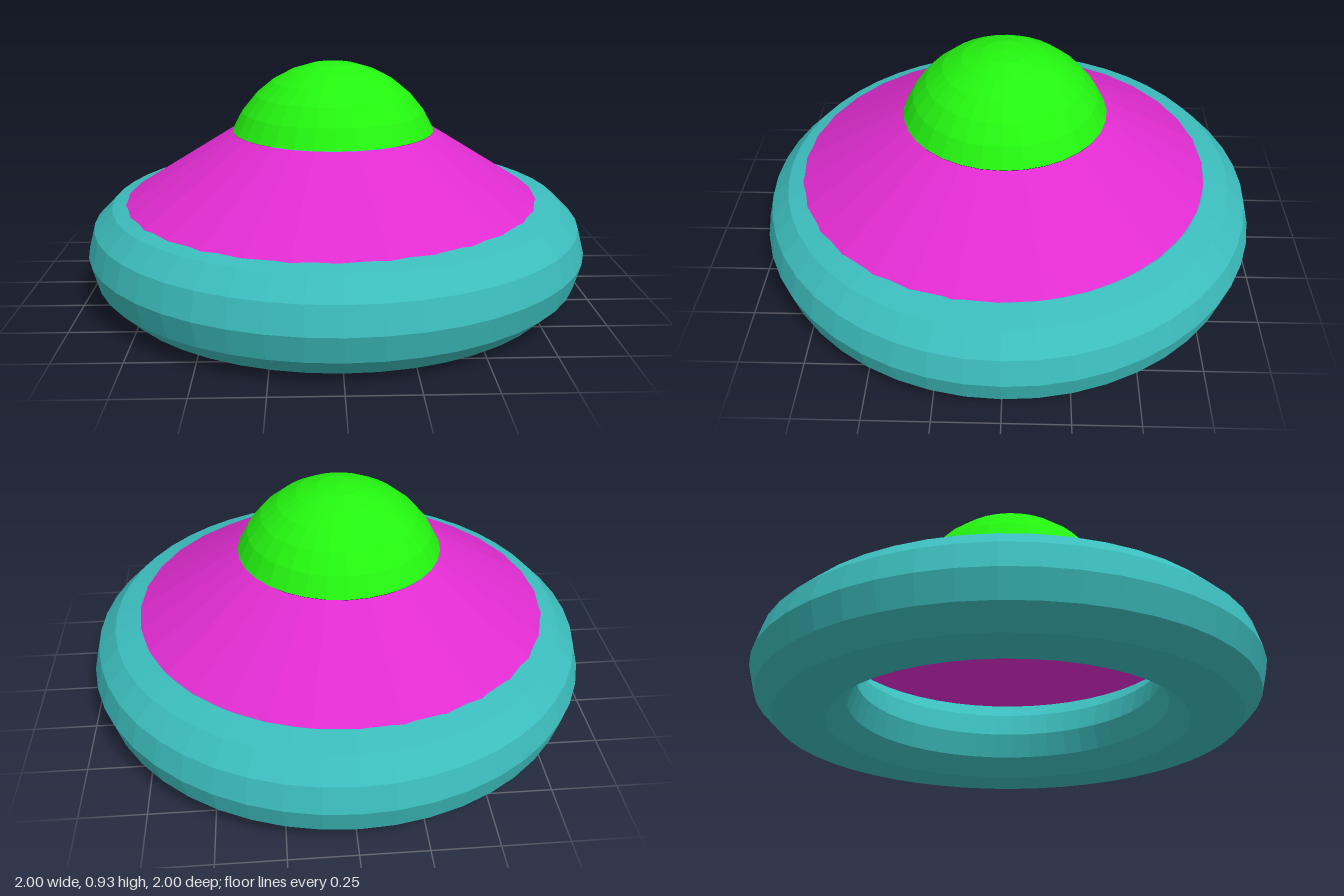
import * as THREE from 'three';

function part(name, geometry, color, x, y, z) {
  const material = new THREE.MeshStandardMaterial({ color, flatShading: true, side: THREE.DoubleSide });
  const mesh = new THREE.Mesh(geometry, material);
  mesh.name = name;
  mesh.position.set(x, y, z);
  return mesh;
}

export function createModel() {
  const model = new THREE.Group();
  model.name = 'flyingSaucer';
  const dx = -0.012, dz = 0.012; // hull and dome sit slightly off centre

  // Ring around the base
  const ring = new THREE.TorusGeometry(0.8, 0.2, 12, 48).rotateX(Math.PI / 2);
  model.add(part('ring', ring, 0x3cbcbc, 0, 0.2, 0));

  // Open sloping hull, its lower edge sunk into the ring
  const top = 0.656, bottom = 0.37;
  const hull = new THREE.CylinderGeometry(0.404, 0.86, top - bottom, 32, 1, true);
  model.add(part('hull', hull, 0xe02cd0, dx, (top + bottom) / 2, dz));

  // Open dome: the upper cap of a sphere
  const dome = new THREE.SphereGeometry(0.437, 32, 6, 0, Math.PI * 2, 0, Math.PI * 0.375);
  model.add(part('dome', dome, 0x24f510, dx, 0.49, dz));

  return model;
}
